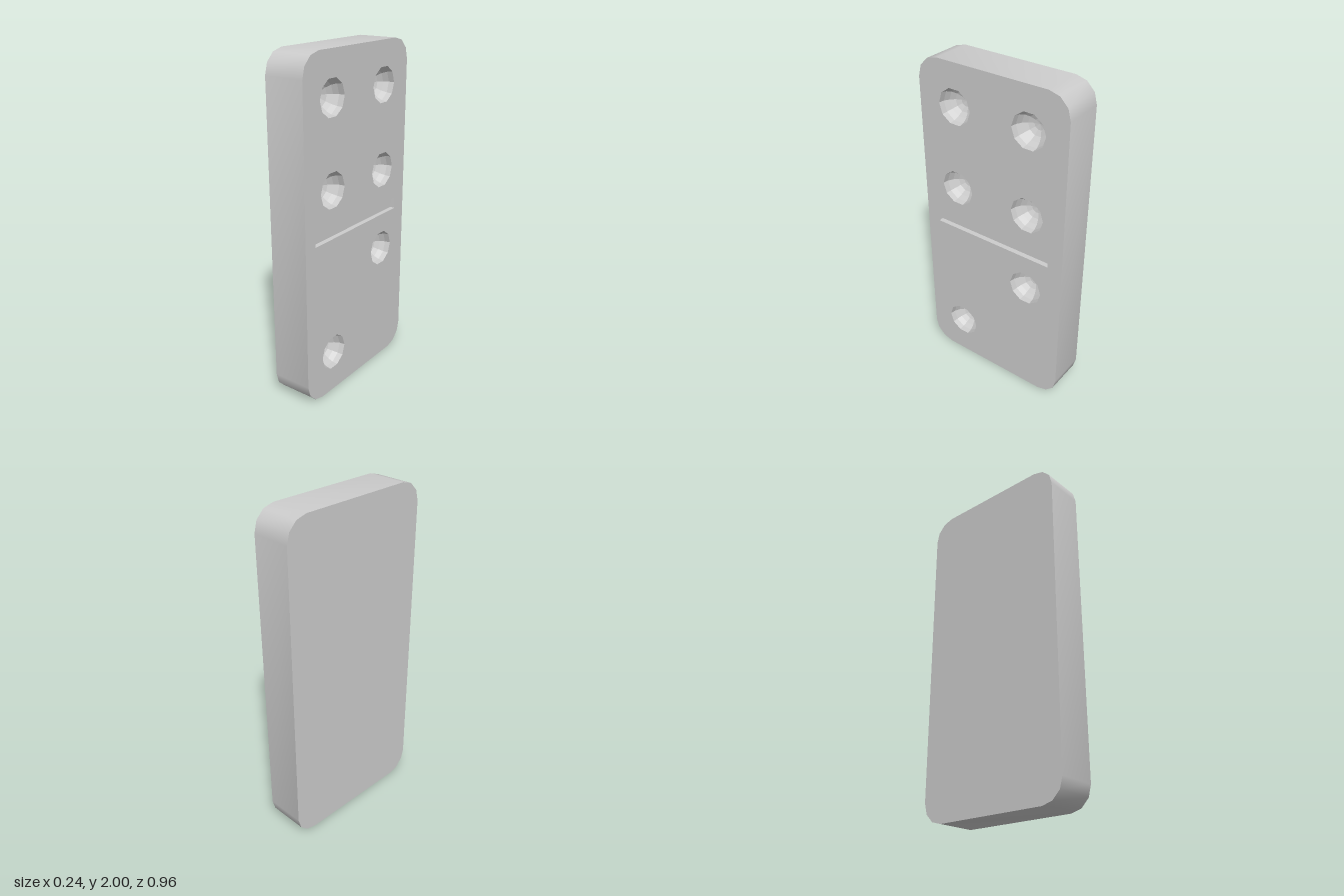
import * as THREE from 'three';
import { toCreasedNormals } from 'three/addons/utils/BufferGeometryUtils.js';

const W = 0.96, H = 2, T = 0.24;        // width, height, thickness
const CORNER = 0.13, CORNER_STEPS = 3;
const PIP_R = 0.106, PIP_SIDES = 10, PIP_RINGS = 5;
const GROOVE = { x: -0.005, y: 1.003, w: 0.784, h: 0.07, depth: 0.03 };
const PIPS = [[-0.24, 1.75], [0.24, 1.75], [-0.24, 1.25], [0.24, 1.25], [0.24, 0.75], [-0.24, 0.25]];

// Rounded rectangle with few-sided corners
function outline() {
  const pts = [];
  const centres = [[1, 1], [-1, 1], [-1, -1], [1, -1]];
  centres.forEach(([sx, sy], c) => {
    for (let i = 0; i <= CORNER_STEPS; i++) {
      const a = (c + i / CORNER_STEPS) * Math.PI / 2;
      pts.push(new THREE.Vector2(
        sx * (W / 2 - CORNER) + CORNER * Math.cos(a),
        H / 2 + sy * (H / 2 - CORNER) + CORNER * Math.sin(a)));
    }
  });
  return new THREE.Shape(pts);
}

function pipHole([x, y]) {
  const pts = [];
  for (let i = 0; i < PIP_SIDES; i++) {
    const a = -i / PIP_SIDES * Math.PI * 2;
    pts.push(new THREE.Vector2(x + PIP_R * Math.cos(a), y + PIP_R * Math.sin(a)));
  }
  return new THREE.Path(pts);
}

function grooveHole({ x, y, w, h }) {
  const corners = [[-1, -1], [-1, 1], [1, 1], [1, -1]];
  return new THREE.Path(corners.map(([sx, sy]) => new THREE.Vector2(x + sx * w / 2, y + sy * h / 2)));
}

export function createModel() {
  const model = new THREE.Group();
  model.name = 'dominoTile';
  const smooth = new THREE.MeshStandardMaterial({ color: 0xcccccc });
  const hollow = new THREE.MeshStandardMaterial({ color: 0xcccccc, side: THREE.DoubleSide, flatShading: true });

  // The tile is built upright in the XY plane, then turned to face +x
  const add = (name, geometry, material) => {
    const mesh = new THREE.Mesh(geometry.rotateY(Math.PI / 2), material);
    mesh.name = name;
    model.add(mesh);
    return mesh;
  };

  // Edge band: only the side walls of the extruded outline
  const solid = new THREE.ExtrudeGeometry(outline(), { depth: T, bevelEnabled: false });
  const walls = solid.groups[1];
  const band = new THREE.BufferGeometry();
  band.setAttribute('position', new THREE.BufferAttribute(
    solid.attributes.position.array.slice(walls.start * 3, (walls.start + walls.count) * 3), 3));
  band.translate(0, 0, -T / 2);
  add('edgeBand', toCreasedNormals(band, 0.6), smooth);

  // Plain back
  add('backFace', new THREE.ShapeGeometry(outline()).rotateY(Math.PI).translate(0, 0, -T / 2), smooth);

  // Pip face with openings
  const face = outline();
  face.holes.push(...PIPS.map(pipHole), grooveHole(GROOVE));
  add('pipFace', new THREE.ShapeGeometry(face).translate(0, 0, T / 2), smooth);

  // Faceted bowls
  const profile = [];
  for (let i = 0; i <= PIP_RINGS; i++) {
    const a = i / PIP_RINGS * Math.PI / 2;
    profile.push(new THREE.Vector2(PIP_R * Math.sin(a), -PIP_R * Math.cos(a)));
  }
  for (const [x, y] of PIPS) {
    const bowl = new THREE.LatheGeometry(profile, PIP_SIDES, Math.PI / 2);
    add('pip', bowl.rotateX(Math.PI / 2).translate(x, y, T / 2), hollow);
  }

  // Dividing groove: a shallow box without its outer face
  const { x, y, w, h, depth } = GROOVE;
  const trough = new THREE.BoxGeometry(w, h, depth);
  const index = Array.from(trough.index.array);
  index.splice(24, 6);
  trough.setIndex(index);
  trough.clearGroups();
  add('dividingGroove', trough.translate(x, y, T / 2 - depth / 2), hollow);

  return model;
}
